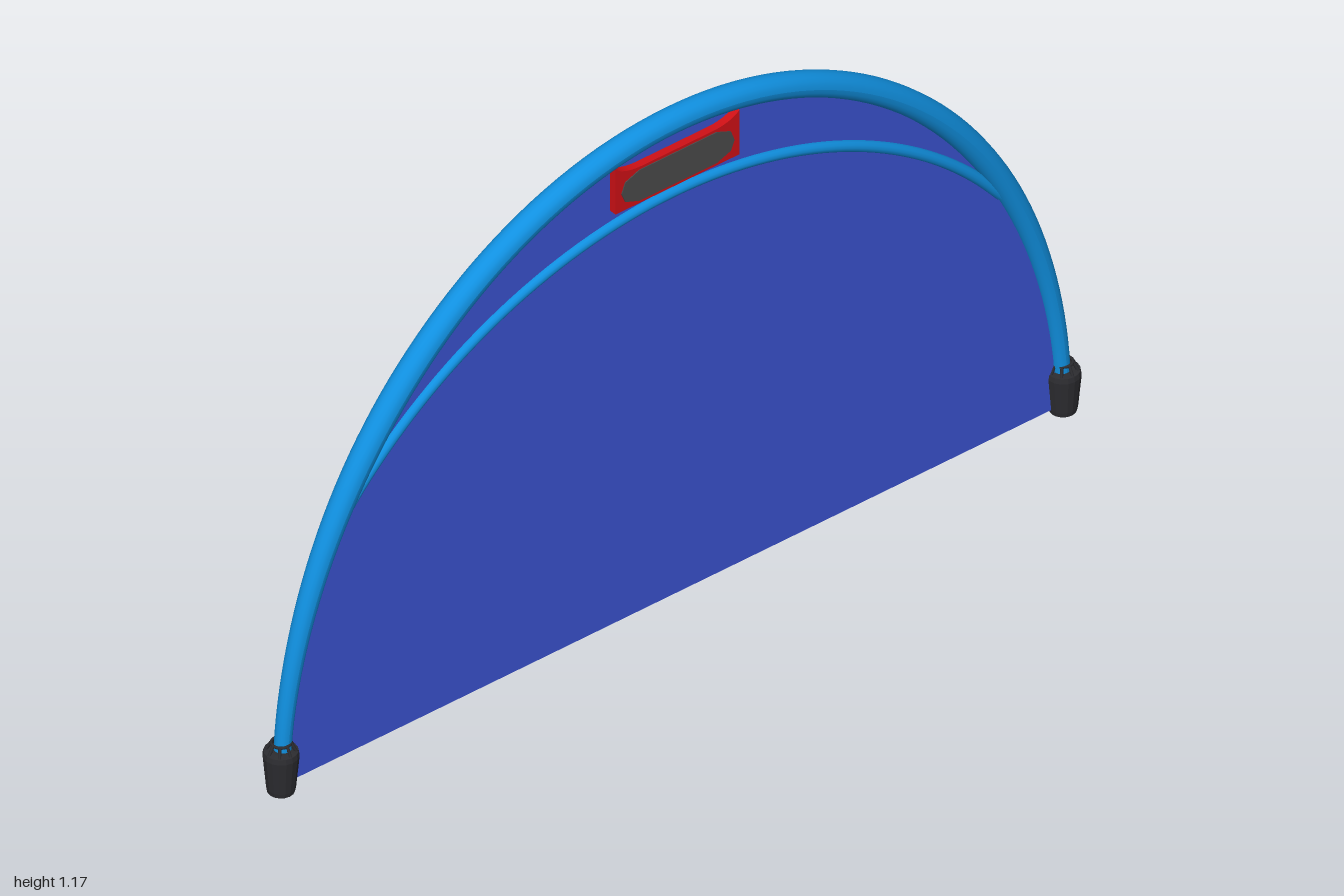
import * as THREE from 'three';

const A = 0.964, B = 1.144; // half width and height of the arch centreline
const mat = (color, side = THREE.FrontSide) => new THREE.MeshStandardMaterial({ color, side });

function add(parent, name, geometry, material) {
  const mesh = new THREE.Mesh(geometry, material);
  mesh.name = name;
  parent.add(mesh);
  return mesh;
}

// Tube whose radius follows a rule of the height of its centreline
function taperedTube(curve, segments, sides, radiusAt) {
  const g = new THREE.TubeGeometry(curve, segments, 1, sides);
  const p = g.attributes.position, c = new THREE.Vector3(), v = new THREE.Vector3();
  for (let i = 0; i <= segments; i++) {
    curve.getPointAt(i / segments, c);
    for (let j = 0; j <= sides; j++) {
      const k = i * (sides + 1) + j;
      v.fromBufferAttribute(p, k).sub(c).multiplyScalar(radiusAt(c.y)).add(c);
      p.setXYZ(k, v.x, v.y, v.z);
    }
  }
  g.computeVertexNormals();
  return g;
}

function curveThrough(count, pointAt) {
  const pts = [];
  for (let i = 0; i <= count; i++) pts.push(pointAt(i / count));
  return new THREE.CatmullRomCurve3(pts);
}

export function createModel() {
  const model = new THREE.Group();
  model.name = 'archGoal';
  const blue = mat(0x1090e0), panelBlue = mat(0x3a52d0, THREE.DoubleSide);
  const red = mat(0xd01015), grey = mat(0x4a4a4a), black = mat(0x2c2c30);

  // Main arch, slimmer towards the feet
  const arch = curveThrough(40, t => {
    const a = 0.06 + t * (Math.PI - 0.12);
    return new THREE.Vector3(A * Math.cos(a), B * Math.sin(a), 0);
  });
  add(model, 'archTube', taperedTube(arch, 96, 20,
    y => 0.017 + 0.010 * THREE.MathUtils.smoothstep(y, 0, 0.85)), blue);

  // Thin inner hoop: circular arc meeting the arch at both sides
  const R = 1.04, half = Math.asin(0.81 / R);
  const hoop = curveThrough(24, t => {
    const a = (t * 2 - 1) * half;
    return new THREE.Vector3(R * Math.sin(a), 0.973 - R + R * Math.cos(a), 0);
  });
  add(model, 'innerHoop', new THREE.TubeGeometry(hoop, 64, 0.012, 12), blue);

  // Fabric panel filling the arch
  const fabric = new THREE.Shape();
  fabric.moveTo(A, 0.01);
  fabric.absellipse(0, 0, A, B, 0.01, Math.PI - 0.01, false);
  fabric.closePath();
  add(model, 'fabricPanel', new THREE.ShapeGeometry(fabric, 64), panelBlue);

  // Badge plate with raised top corners
  const badge = new THREE.Group();
  badge.name = 'badge';
  model.add(badge);
  const plate = new THREE.Shape();
  plate.moveTo(-0.153, 1.0);
  plate.lineTo(0.153, 1.0);
  plate.lineTo(0.153, 1.106);
  plate.quadraticCurveTo(0.13, 1.086, 0.085, 1.086);
  plate.lineTo(-0.085, 1.086);
  plate.quadraticCurveTo(-0.13, 1.086, -0.153, 1.106);
  plate.closePath();
  const plateGeo = new THREE.ExtrudeGeometry(plate, { depth: 0.034, bevelEnabled: false });
  add(badge, 'badgePlate', plateGeo.translate(0, 0, -0.017), red);

  // Dark inset with slanted ends
  const inset = new THREE.Shape();
  inset.setFromPoints([[-0.095, 1.007], [0.095, 1.007], [0.13, 1.02], [0.139, 1.042], [0.13, 1.066], [0.095, 1.08],
    [-0.095, 1.08], [-0.13, 1.066], [-0.139, 1.042], [-0.13, 1.02]].map(p => new THREE.Vector2(...p)));
  const insetGeo = new THREE.ExtrudeGeometry(inset, { depth: 0.004, bevelEnabled: false });
  add(badge, 'badgeInset', insetGeo.translate(0, 0, 0.015), grey);

  // Feet: tapered cap, collar ring and short struts
  const capProfile = [[0, 0], [0.027, 0], [0.029, 0.01], [0.036, 0.085], [0.034, 0.096], [0.022, 0.098], [0, 0.098]]
    .map(p => new THREE.Vector2(...p));
  for (const side of [-1, 1]) {
    const foot = new THREE.Group();
    foot.name = side > 0 ? 'leftFoot' : 'rightFoot';
    foot.position.x = side * A;
    model.add(foot);
    const cap = new THREE.LatheGeometry(capProfile, 16).toNonIndexed();
    cap.computeVertexNormals();
    add(foot, 'footCap', cap, black);
    const ring = add(foot, 'footCollar', new THREE.TorusGeometry(0.019, 0.003, 8, 20), black);
    ring.rotation.x = Math.PI / 2;
    ring.position.y = 0.114;
    for (let i = 0; i < 8; i++) {
      const a = i * Math.PI / 4, c = Math.cos(a), s = Math.sin(a);
      const path = new THREE.LineCurve3(
        new THREE.Vector3(0.031 * c, 0.092, 0.031 * s), new THREE.Vector3(0.019 * c, 0.115, 0.019 * s));
      add(foot, 'footStrut', new THREE.TubeGeometry(path, 1, 0.0035, 6), black);
    }
  }
  return model;
}
